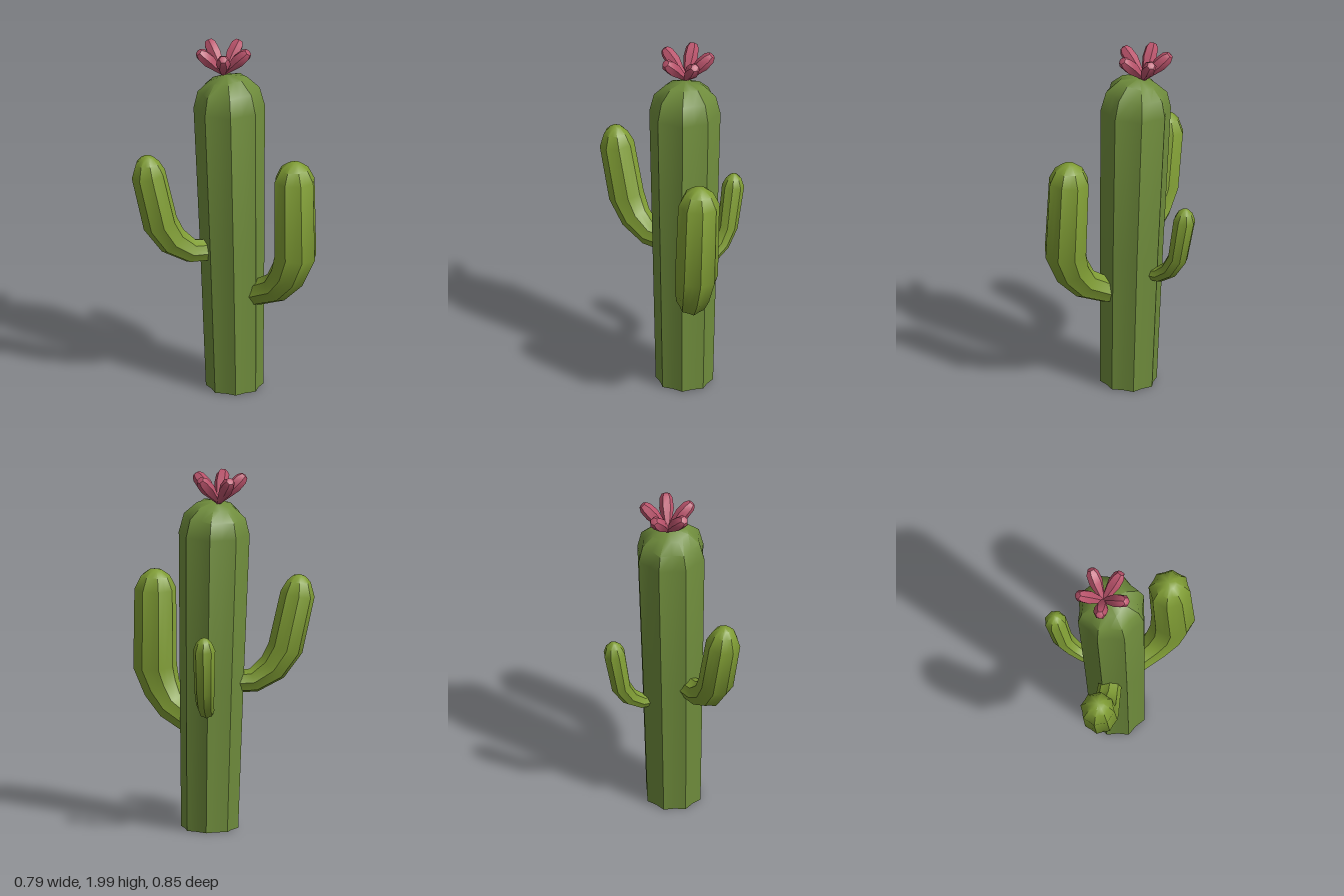
import * as THREE from 'three';
import { toCreasedNormals } from 'three/addons/utils/BufferGeometryUtils.js';

const V = (x, y, z) => new THREE.Vector3(x, y, z);

// Ribbed tube through rings [x, y, z, radius]; every second point is a groove.
// A final radius of 0 closes the tip; the first ring is capped.
function ribbedTube(rings, points, groove, side) {
  const centres = rings.map(([x, y, z]) => V(x, y, z));
  const loops = rings.map(([, , , r], i) => {
    const t = centres[Math.min(i + 1, rings.length - 1)].clone()
      .sub(centres[Math.max(i - 1, 0)]).normalize();
    const v = t.clone().cross(side).normalize();
    const u = v.clone().cross(t);
    return Array.from({ length: points }, (_, j) => {
      const a = (j / points) * Math.PI * 2;
      const rad = r * (j % 2 ? groove : 1);
      const p = centres[i].clone()
        .addScaledVector(u, rad * Math.cos(a))
        .addScaledVector(v, rad * Math.sin(a));
      p.y = Math.max(0, p.y);
      return p;
    });
  });

  const pos = [];
  const tri = (...corners) => corners.forEach((p) => pos.push(p.x, p.y, p.z));
  for (let j = 0; j < points; j++) {
    const k = (j + 1) % points;
    tri(centres[0], loops[0][k], loops[0][j]);
    for (let i = 0; i < loops.length - 1; i++) {
      const [a, b] = [loops[i], loops[i + 1]];
      tri(a[j], a[k], b[k]);
      if (rings[i + 1][3] > 0) tri(a[j], b[k], b[j]);
    }
  }
  const geo = new THREE.BufferGeometry();
  geo.setAttribute('position', new THREE.Float32BufferAttribute(pos, 3));
  return toCreasedNormals(geo, 0.7);
}

export function createModel() {
  const group = new THREE.Group();
  const trunkMat = new THREE.MeshStandardMaterial({ color: 0x6f8c3c });
  const armMat = new THREE.MeshStandardMaterial({ color: 0x7f9c34 });
  const petalMat = new THREE.MeshStandardMaterial({ color: 0xb8526a });

  const add = (parent, name, geo, mat) => {
    const mesh = new THREE.Mesh(geo, mat);
    mesh.name = name;
    parent.add(mesh);
  };

  // Trunk: widens upwards, leans slightly back, domed top
  add(group, 'trunk', ribbedTube([
    [0.085, 0, -0.055, 0.157],
    [0.085, 0.8, -0.072, 0.175],
    [0.085, 1.65, -0.095, 0.195],
    [0.085, 1.75, -0.1, 0.17],
    [0.085, 1.81, -0.108, 0.105],
    [0.085, 1.835, -0.115, 0],
  ], 16, 0.88, V(1, 0, 0)), trunkMat);

  // Arms: grow out of the trunk, bend upwards and end in a dome
  const arms = {
    frontArm: [
      [0.11, 0.56, 0, 0.068],
      [0.12, 0.575, 0.07, 0.072],
      [0.145, 0.635, 0.195, 0.085],
      [0.16, 0.73, 0.27, 0.103],
      [0.178, 0.85, 0.31, 0.12],
      [0.19, 1.29, 0.293, 0.115],
      [0.19, 1.36, 0.292, 0.08],
      [0.19, 1.39, 0.291, 0.04],
      [0.19, 1.4, 0.29, 0],
    ],
    rightArm: [
      [-0.02, 0.815, -0.14, 0.062],
      [-0.11, 0.82, -0.195, 0.068],
      [-0.195, 0.89, -0.255, 0.085],
      [-0.25, 1.0, -0.298, 0.097],
      [-0.305, 1.3, -0.335, 0.095],
      [-0.312, 1.37, -0.337, 0.065],
      [-0.314, 1.4, -0.337, 0.035],
      [-0.315, 1.41, -0.337, 0],
    ],
    leftArm: [
      [0.16, 0.685, -0.14, 0.038],
      [0.22, 0.695, -0.2, 0.043],
      [0.27, 0.745, -0.25, 0.049],
      [0.305, 0.83, -0.29, 0.055],
      [0.332, 1.07, -0.322, 0.061],
      [0.335, 1.115, -0.325, 0.042],
      [0.335, 1.135, -0.326, 0.02],
      [0.335, 1.142, -0.326, 0],
    ],
  };
  for (const [name, path] of Object.entries(arms)) {
    const first = path[0];
    const last = path[path.length - 1];
    // horizontal axis across the arm's bending plane
    const side = V(last[2] - first[2], 0, first[0] - last[0]).normalize();
    add(group, name, ribbedTube(path, 16, 0.9, side), armMat);
  }

  // Flower: five blunt, flaring petals
  const flower = new THREE.Group();
  flower.name = 'flower';
  flower.position.set(0.088, 1.825, -0.14);
  group.add(flower);
  for (let i = 0; i < 5; i++) {
    const a = ((i * 72 - 6) * Math.PI) / 180;
    const [c, s] = [Math.cos(a), Math.sin(a)];
    const path = [
      [0, 0, 0.014], [0.085, 0.095, 0.04], [0.125, 0.135, 0.036], [0.142, 0.152, 0.022], [0.146, 0.156, 0],
    ].map(([d, y, r]) => [d * c, y, d * s, r]);
    add(flower, `petal${i + 1}`, ribbedTube(path, 6, 1, V(s, 0, -c)), petalMat);
  }
  return group;
}
